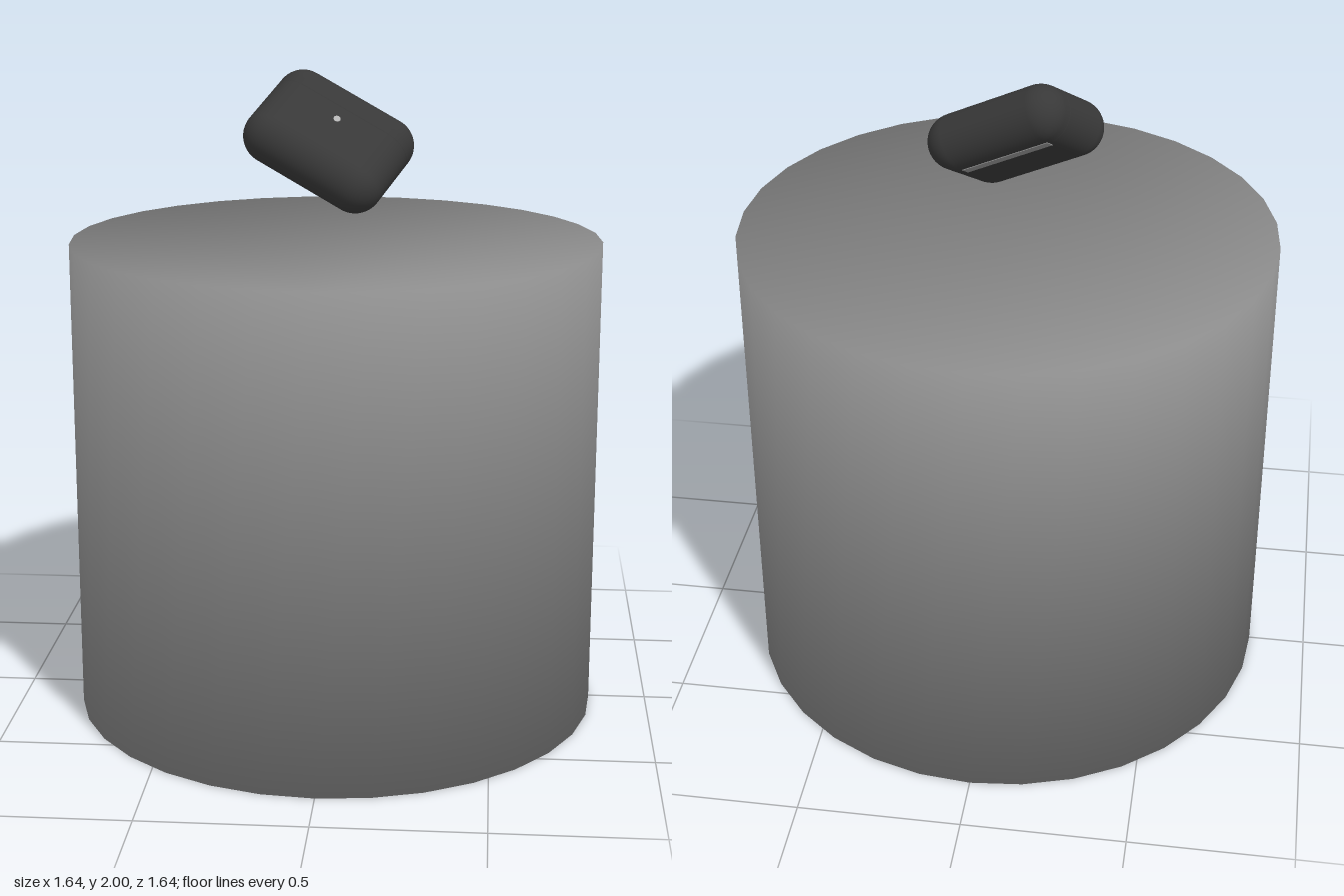
import * as THREE from 'three';
import { RoundedBoxGeometry } from 'three/addons/geometries/RoundedBoxGeometry.js';

const plinthGrey = new THREE.MeshStandardMaterial({ color: 0x8c8c8c });
plinthGrey.name = 'plinth grey';
const charcoal = new THREE.MeshStandardMaterial({ color: 0x383838 });
charcoal.name = 'charcoal';
const metal = new THREE.MeshStandardMaterial({ color: 0x929292 });
metal.name = 'hinge metal';
const lightGrey = new THREE.MeshStandardMaterial({ color: 0xb4b4b4 });
lightGrey.name = 'indicator light grey';

function mesh(name, geometry, material) {
  const m = new THREE.Mesh(geometry, material);
  m.name = name;
  return m;
}

// Drum whose caps and wall share softened rim normals
function drumGeometry(radius, height, sides) {
  const pos = [], nor = [], idx = [];
  for (let i = 0; i < sides; i++) {
    const a = (i / sides) * Math.PI * 2, s = Math.sin(a), c = Math.cos(a);
    pos.push(radius * s, 0, radius * c, radius * s, height, radius * c);
    nor.push(s * Math.SQRT1_2, -Math.SQRT1_2, c * Math.SQRT1_2, s * Math.SQRT1_2, Math.SQRT1_2, c * Math.SQRT1_2);
    const b = 2 * i, n = 2 * ((i + 1) % sides);
    idx.push(b, n, n + 1, b, n + 1, b + 1);
    // Caps fan out from the first rim point
    if (i > 0 && i < sides - 1) idx.push(1, b + 1, n + 1, 0, n, b);
  }
  const g = new THREE.BufferGeometry();
  g.setAttribute('position', new THREE.Float32BufferAttribute(pos, 3));
  g.setAttribute('normal', new THREE.Float32BufferAttribute(nor, 3));
  g.setIndex(idx);
  return g;
}

// Rounded case cut flat by limiting its height range
function caseShell(low, high) {
  const g = new RoundedBoxGeometry(0.47, 0.358, 0.17, 8, 0.085);
  const p = g.attributes.position;
  for (let i = 0; i < p.count; i++) p.setY(i, THREE.MathUtils.clamp(p.getY(i), low, high));
  return g;
}

export function createModel() {
  const model = new THREE.Group();
  model.name = 'caseOnPlinth';
  model.add(mesh('plinth', drumGeometry(0.82, 1.49, 32), plinthGrey));

  // Floating case, tilted: width, height and depth axes
  const box = new THREE.Group();
  box.name = 'chargingCase';
  const wide = new THREE.Vector3(0.864, -0.458, 0.207).normalize();
  const front = wide.clone().cross(new THREE.Vector3(0.447, 0.546, -0.709)).normalize();
  const tall = front.clone().cross(wide);
  box.quaternion.setFromRotationMatrix(new THREE.Matrix4().makeBasis(wide, tall, front));
  box.position.set(-0.02, 1.796, 0.027);

  const seam = 0.07;
  box.add(mesh('caseBody', caseShell(-1, seam - 0.0015), charcoal));
  box.add(mesh('caseLid', caseShell(seam + 0.0015, 1), charcoal));

  // Hinge strip across the back
  const hinge = mesh('hinge', new THREE.BoxGeometry(0.3, 0.03, 0.006), metal);
  hinge.position.set(0, seam - 0.005, -0.084);
  box.add(hinge);

  // Small indicator on the front
  const light = mesh('indicatorLight', new THREE.CylinderGeometry(0.011, 0.011, 0.004, 16), lightGrey);
  light.rotation.x = Math.PI / 2;
  light.position.set(0, 0.022, 0.0845);
  box.add(light);

  model.add(box);
  return model;
}
